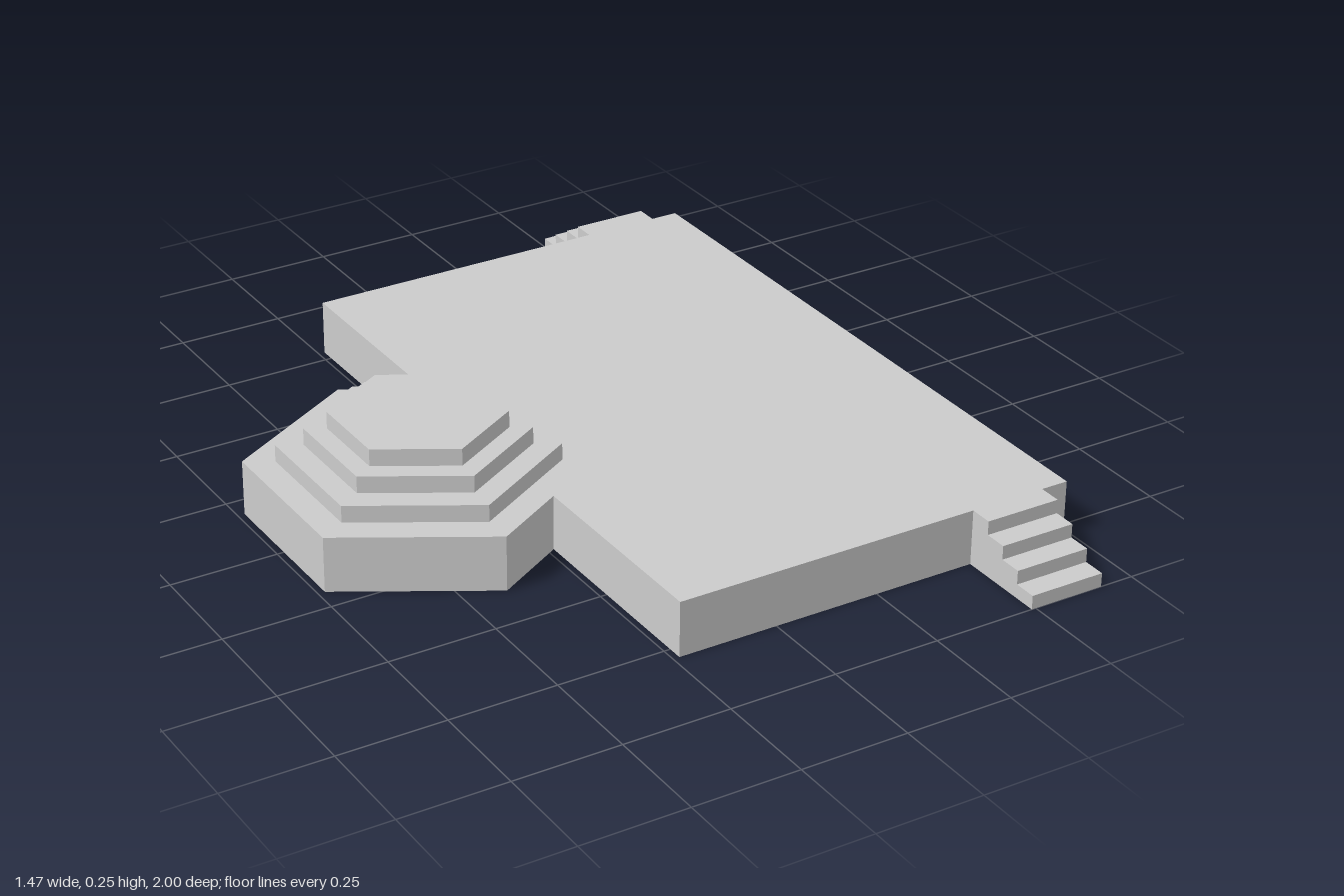
import * as THREE from 'three';

const material = new THREE.MeshStandardMaterial({ color: 0xcccccc, flatShading: true });

const DECK_H = 0.13;
const DECK = { x0: -0.235, x1: 0.735, z: 0.785 };
const HEX = { x: -0.405, r: 0.38 };

function extrude(points, depth) {
  const shape = new THREE.Shape(points.map(([x, y]) => new THREE.Vector2(x, y)));
  return new THREE.ExtrudeGeometry(shape, { depth, bevelEnabled: false });
}

function addMesh(parent, name, geometry) {
  const mesh = new THREE.Mesh(geometry, material);
  mesh.name = name;
  parent.add(mesh);
  return mesh;
}

export function createModel() {
  const model = new THREE.Group();
  model.name = 'terrace';

  // Rectangular deck joined with the hexagonal base in one outline
  const apothem = HEX.r * Math.cos(Math.PI / 6);
  const joinZ = HEX.r - (DECK.x0 - HEX.x) * Math.tan(Math.PI / 6);
  const half = [
    [DECK.x1, DECK.z], [DECK.x0, DECK.z], [DECK.x0, joinZ],
    [HEX.x, HEX.r], [HEX.x - apothem, HEX.r / 2],
  ];
  const outline = [...half, ...half.map(([x, z]) => [x, -z]).reverse()];
  const deckGeometry = extrude(outline, DECK_H);
  deckGeometry.rotateX(-Math.PI / 2);
  addMesh(model, 'deck', deckGeometry);

  // Stepped hexagonal tiers
  const tierH = 0.04;
  [0.308, 0.246, 0.195].forEach((r, i) => {
    const tier = addMesh(model, `hexTier${i + 1}`, new THREE.CylinderGeometry(r, r, tierH, 6));
    tier.position.set(HEX.x, DECK_H + tierH * (i + 0.5), 0);
  });

  // Staircases at the front and back ends, from one side profile
  const steps = 4, stairRun = 1 - DECK.z, stairW = 0.18;
  const profile = [[0, 0], [stairRun, 0]];
  for (let i = 0; i < steps; i++) {
    const out = stairRun * (1 - i / steps);
    const top = DECK_H * (i + 1) / steps;
    profile.push([out, top], [out - stairRun / steps, top]);
  }
  const stairGeometry = extrude(profile, stairW);
  stairGeometry.translate(0, 0, -stairW / 2);
  for (const side of [1, -1]) {
    const stairs = addMesh(model, side > 0 ? 'frontStairs' : 'backStairs', stairGeometry);
    stairs.rotation.y = -side * Math.PI / 2;
    stairs.position.set(0.58, 0, side * DECK.z);
  }

  return model;
}
